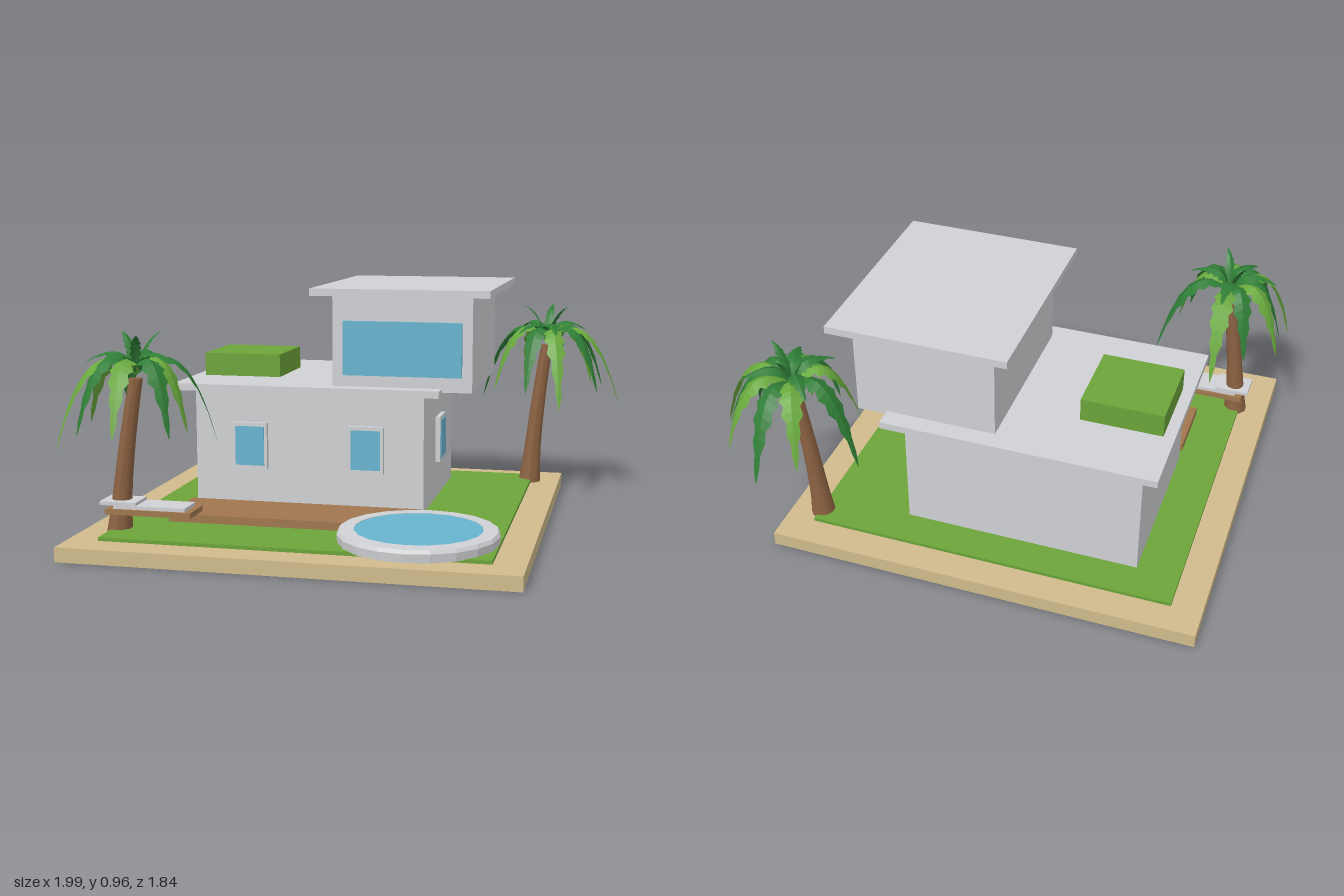
import * as THREE from 'three';

const mat = (name, color, extra = {}) => {
  const m = new THREE.MeshStandardMaterial({ color, ...extra });
  m.name = name;
  return m;
};

export function createModel() {
  const model = new THREE.Group();
  model.name = 'villa';
  const sand = mat('sand', 0xd0bb8c);
  const grass = mat('grass', 0x6ca43a);
  const white = mat('plaster', 0xd0d1d4);
  const wood = mat('wood', 0xa0764e);
  const glass = mat('water and glass', 0x68b4d0);
  const bark = mat('bark', 0x8c6242);
  const leafDark = mat('dark leaf', 0x2f7d36, { side: THREE.DoubleSide });
  const leafLight = mat('light leaf', 0x68a83c, { side: THREE.DoubleSide });

  const add = (name, geometry, material, parent = model) => {
    const mesh = new THREE.Mesh(geometry, material);
    mesh.name = name;
    parent.add(mesh);
    return mesh;
  };
  // Box given by its limits on each axis
  const box = (name, material, [x0, x1], [y0, y1], [z0, z1], parent = model) => {
    const mesh = add(name, new THREE.BoxGeometry(x1 - x0, y1 - y0, z1 - z0), material, parent);
    mesh.position.set((x0 + x1) / 2, (y0 + y1) / 2, (z0 + z1) / 2);
    return mesh;
  };

  // Plot
  box('sandBase', sand, [-0.97, 0.74], [0, 0.056], [-0.79, 0.92]);
  box('lawn', grass, [-0.85, 0.62], [0.05, 0.07], [-0.67, 0.8]);
  box('deck', wood, [-0.68, 0.27], [0.068, 0.102], [0.24, 0.515]);

  // House: two storeys with overhanging roofs
  box('lowerStorey', white, [-0.68, 0.265], [0.065, 0.55], [-0.525, 0.18]);
  box('lowerRoof', white, [-0.75, 0.335], [0.546, 0.574], [-0.6, 0.25]);
  box('upperStorey', white, [-0.105, 0.455], [0.56, 0.94], [-0.525, 0.18]);
  box('upperRoof', white, [-0.18, 0.53], [0.936, 0.965], [-0.6, 0.25]);
  box('roofGarden', grass, [-0.705, -0.38], [0.572, 0.668], [-0.335, -0.015]);

  // Windows
  box('upperWindow', glass, [-0.06, 0.415], [0.62, 0.835], [0.175, 0.197]);
  const framedWindow = (x, z, turn) => {
    const w = new THREE.Group();
    w.name = 'framedWindow';
    box('windowFrame', white, [-0.072, 0.072], [-0.095, 0.095], [-0.01, 0.02], w);
    box('windowPane', glass, [-0.06, 0.06], [-0.08, 0.08], [0.016, 0.023], w);
    w.position.set(x, 0.32, z);
    w.rotation.y = turn;
    model.add(w);
  };
  framedWindow(-0.447, 0.18, 0);
  framedWindow(0.033, 0.18, 0);
  framedWindow(0.265, -0.172, Math.PI / 2);

  // Round pool
  const rim = [[0.3, 0.068], [0.303, 0.1], [0.295, 0.114], [0.24, 0.116], [0.24, 0.09]]
    .map(([r, y]) => new THREE.Vector2(r, y));
  const rimMesh = add('poolRim', new THREE.LatheGeometry(rim, 20).toNonIndexed(), white);
  rimMesh.geometry.computeVertexNormals();
  rimMesh.position.set(0.32, 0, 0.588);
  const water = add('poolWater', new THREE.CylinderGeometry(0.24, 0.24, 0.04, 20), glass);
  water.position.set(0.32, 0.094, 0.588);

  // Lounger
  box('loungerFrame', wood, [-0.86, -0.52], [0.135, 0.156], [0.575, 0.71]);
  box('loungerCushion', white, [-0.83, -0.545], [0.155, 0.17], [0.585, 0.7]);
  box('loungerPillow', white, [-0.885, -0.74], [0.168, 0.182], [0.585, 0.7]);

  // Frond: folded ribbon with a toothed edge, arching along a curve towards +x
  const frond = (p1, p2, width) => {
    const curve = new THREE.QuadraticBezierCurve(
      new THREE.Vector2(0, 0.02), new THREE.Vector2(...p1), new THREE.Vector2(...p2));
    const steps = 14, pos = [], index = [];
    for (let i = 0; i <= steps; i++) {
      const t = i / steps;
      const p = curve.getPoint(t);
      const tooth = i % 2 ? 1 : 0.68;
      const half = i === steps ? 0.001 : width * tooth * Math.min(1, 0.3 + t * 2.2, (1 - t) * 2.2 + 0.1);
      const drop = half * 0.45;
      pos.push(p.x, p.y - drop, -half, p.x, p.y, 0, p.x, p.y - drop, half);
      if (i < steps) {
        const a = i * 3;
        for (const k of [a, a + 1]) index.push(k, k + 1, k + 3, k + 1, k + 4, k + 3);
      }
    }
    let g = new THREE.BufferGeometry();
    g.setAttribute('position', new THREE.Float32BufferAttribute(pos, 3));
    g.setIndex(index);
    g = g.toNonIndexed();
    g.computeVertexNormals();
    return g;
  };

  // Palm: leaning trunk, long drooping fronds [angle, reach], short upright leaves
  const palm = (name, foot, top, fronds) => {
    const group = new THREE.Group();
    group.name = name;
    const height = top[1] - foot[1];
    const trunk = new THREE.CylinderGeometry(1, 1, height, 10, 8);
    const p = trunk.attributes.position;
    for (let i = 0; i < p.count; i++) {
      const t = p.getY(i) / height + 0.5;
      const r = 0.026 + 0.012 * (1 - t) + 0.012 * (1 - t) ** 6;
      const lean = 0.6 * t + 0.4 * t * t;
      p.setXYZ(i, p.getX(i) * r + foot[0] + (top[0] - foot[0]) * lean, foot[1] + t * height,
        p.getZ(i) * r + foot[2] + (top[2] - foot[2]) * lean);
    }
    trunk.computeVertexNormals();
    add('trunk', trunk, bark, group);

    const crown = new THREE.Group();
    crown.name = 'crown';
    crown.position.set(...top);
    fronds.forEach(([angle, reach], i) => {
      const droop = reach > 0.28 ? -0.25 : -0.19;
      const leaf = add('frond', frond([reach * 0.62, 0.22], [reach, droop], 0.046),
        i % 2 ? leafDark : leafLight, crown);
      leaf.rotation.y = -angle * Math.PI / 180;
    });
    for (let i = 0; i < 7; i++) {
      const tall = i % 2;
      const leaf = add('youngLeaf', frond([0.04, 0.16], tall ? [0.1, 0.17] : [0.19, 0.06], tall ? 0.022 : 0.036),
        leafDark, crown);
      leaf.rotation.y = i * Math.PI * 2 / 7 + fronds[0][0];
    }
    group.add(crown);
    model.add(group);
  };
  palm('frontPalm', [-0.83, 0.05, 0.64], [-0.755, 0.645, 0.625],
    [[-90, 0.31], [-23, 0.3], [15, 0.23], [43, 0.27], [88, 0.26], [125, 0.26],
      [143, 0.305], [177, 0.23], [205, 0.26], [240, 0.23]]);
  palm('backPalm', [0.61, 0.05, -0.6], [0.675, 0.67, -0.62],
    [[5, 0.32], [28, 0.26], [74, 0.29], [106, 0.25], [149, 0.25], [195, 0.3],
      [244, 0.27], [276, 0.3], [312, 0.28], [337, 0.26]]);

  return model;
}
